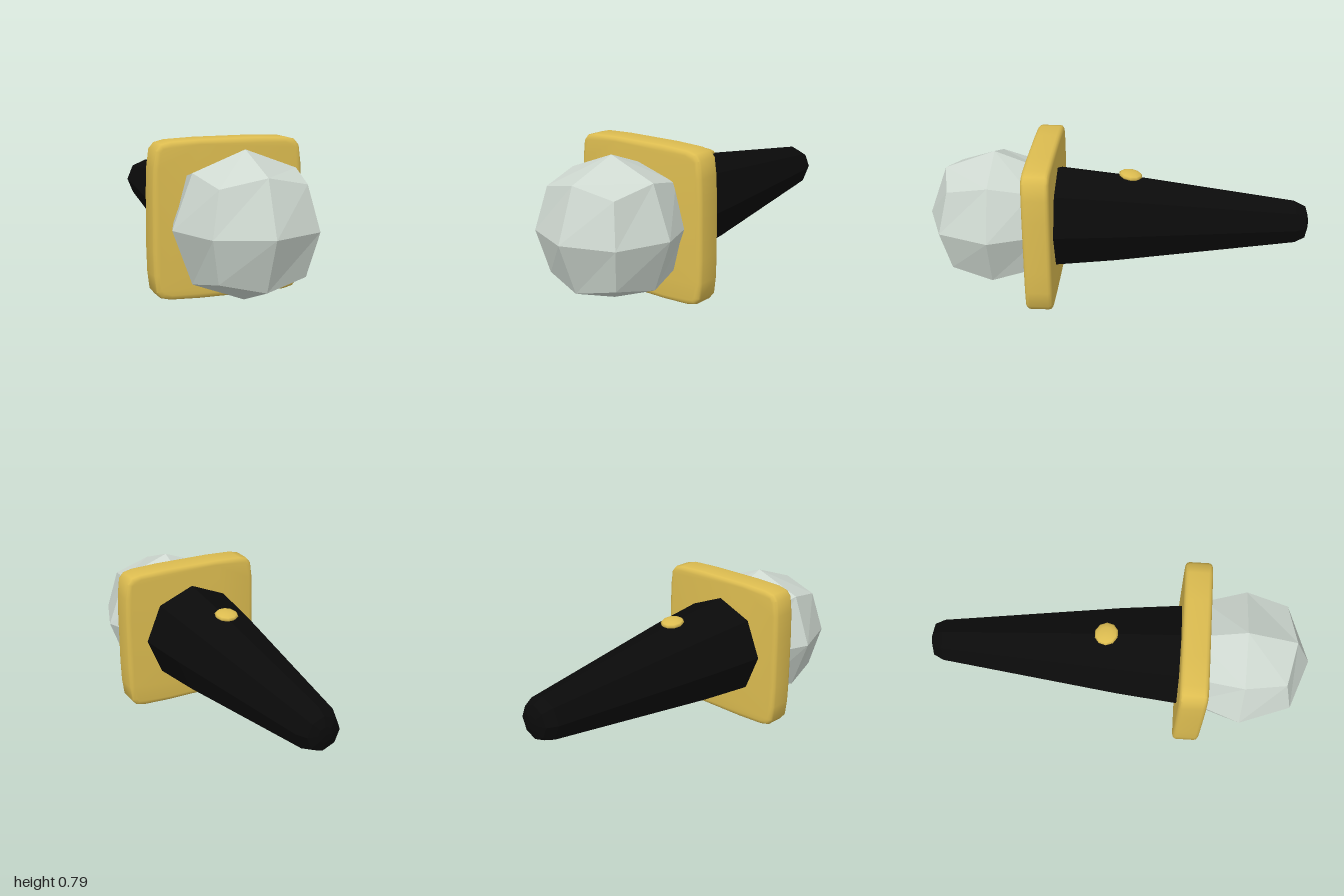
import * as THREE from 'three';
import { toCreasedNormals } from 'three/addons/utils/BufferGeometryUtils.js';

const AXIS_Y = 0.394; // height of the long axis

function material(name, color, flatShading) {
  const m = new THREE.MeshStandardMaterial({ color, flatShading });
  m.name = name;
  return m;
}

// Faceted ball: a 2x2x2 box whose vertices are pushed out by kind
function ballGeometry() {
  const geo = new THREE.BoxGeometry(2, 2, 2, 2, 2, 2);
  const reach = [0, 0.36, 0.262, 0.216]; // face centre, edge middle, corner
  const p = geo.attributes.position;
  for (let i = 0; i < p.count; i++) {
    const v = new THREE.Vector3().fromBufferAttribute(p, i).round();
    const kind = Math.abs(v.x) + Math.abs(v.y) + Math.abs(v.z);
    v.multiplyScalar(reach[kind]);
    p.setXYZ(i, v.x, v.y, v.z);
  }
  geo.computeVertexNormals();
  return geo;
}

// Square collar with bulged sides, soft corners and a rounded rim
function collarGeometry() {
  const quarter = [[0.39, 0.14], [0.386, 0.26], [0.375, 0.345], [0.35, 0.375], [0.3, 0.387], [0.15, 0.393]];
  const flipped = [...quarter].reverse();
  const outline = [
    ...quarter,
    ...flipped.map(([x, y]) => [-x, y]),
    ...quarter.map(([x, y]) => [-x, -y]),
    ...flipped.map(([x, y]) => [x, -y]),
  ].map(([x, y]) => new THREE.Vector2(x, y));
  const bevel = 0.022;
  const depth = 0.142 - 2 * bevel;
  const geo = new THREE.ExtrudeGeometry(new THREE.Shape(outline), {
    depth, bevelEnabled: true, bevelThickness: bevel, bevelSize: 0.025, bevelOffset: -0.025, bevelSegments: 3,
  });
  geo.translate(0, 0, -depth / 2);
  return toCreasedNormals(geo, 0.7);
}

// Eight-sided tapered handle with a blunt end
function handleGeometry() {
  const profile = [[0, -1], [0.04, -0.998], [0.088, -0.983], [0.115, -0.93], [0.242, 0], [0.277, 0.33]]
    .map(([r, z]) => new THREE.Vector2(r, z));
  return new THREE.LatheGeometry(profile, 8).rotateX(Math.PI / 2);
}

export function createModel() {
  const model = new THREE.Group();
  const gold = material('gold', 0xdcbc50, false);
  const silver = material('silver', 0xced8d0, true);
  const black = material('black', 0x0a0a0a, true);

  const add = (name, geo, mat, x, y, z) => {
    const mesh = new THREE.Mesh(geo, mat);
    mesh.name = name;
    mesh.position.set(x, y, z);
    model.add(mesh);
    return mesh;
  };

  add('ballHead', ballGeometry(), silver, 0, AXIS_Y, 0.64);
  add('collar', collarGeometry(), gold, 0, AXIS_Y, 0.383);
  add('handle', handleGeometry(), black, 0, AXIS_Y, 0);

  // Button lying along the slope of the handle
  const button = add('button', new THREE.SphereGeometry(0.062, 10, 6), gold, -0.005, 0.636, -0.068);
  button.scale.y = 0.32;
  button.rotation.x = -0.135;

  return model;
}
